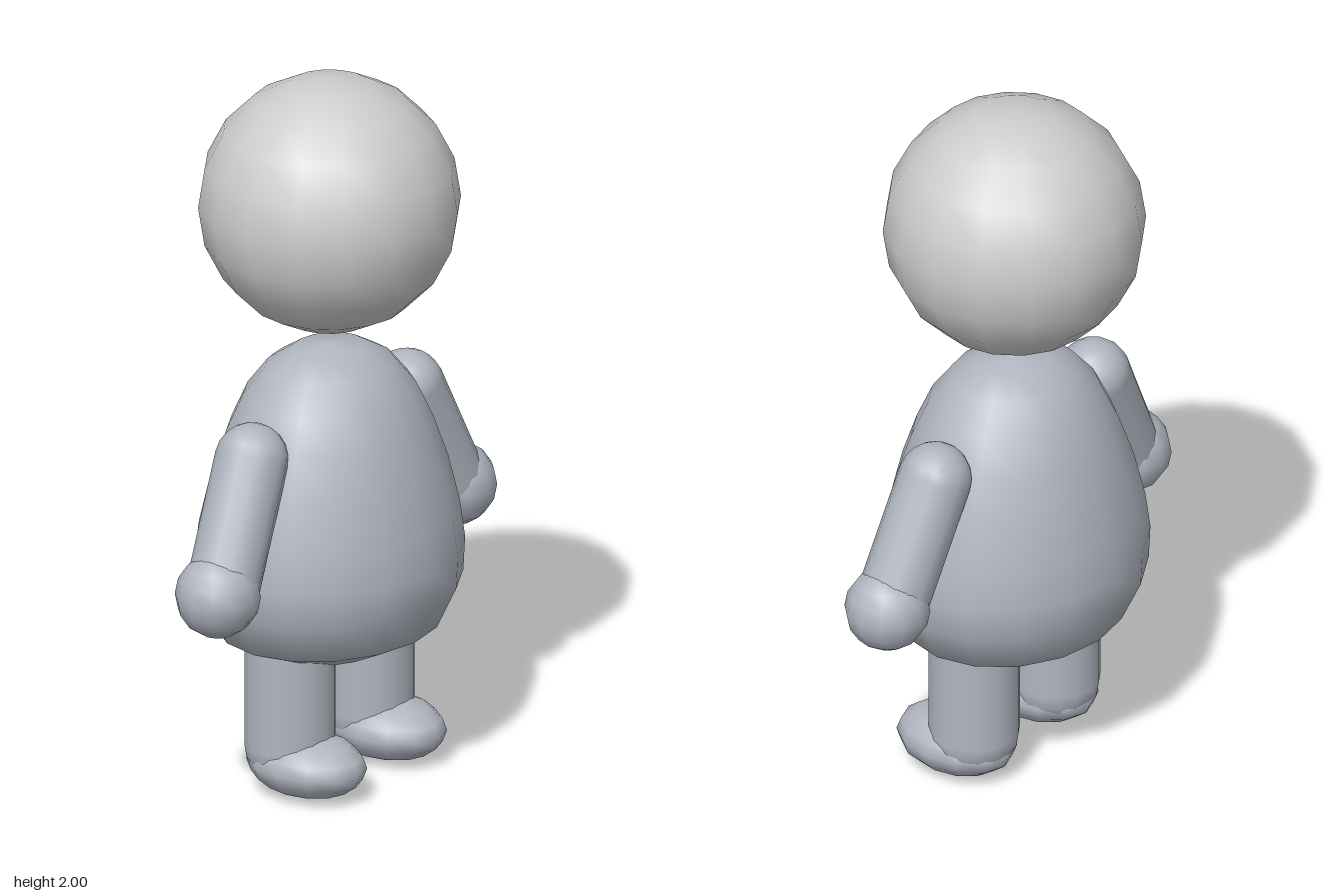
import * as THREE from 'three';

export function createModel() {
  const model = new THREE.Group();
  const headGrey = new THREE.MeshStandardMaterial({ color: 0xcccccc });
  headGrey.name = 'light grey';
  const bodyGrey = new THREE.MeshStandardMaterial({ color: 0xb0b6c0 });
  bodyGrey.name = 'blue grey';

  const add = (name, geometry, material, x, y, z) => {
    const mesh = new THREE.Mesh(geometry, material);
    mesh.name = name;
    mesh.position.set(x, y, z);
    model.add(mesh);
    return mesh;
  };

  // Capsule whose cap centres lie at a and b
  const limb = (name, a, b, radius) => {
    const axis = b.clone().sub(a);
    const mid = a.clone().add(b).multiplyScalar(0.5);
    const geometry = new THREE.CapsuleGeometry(radius, axis.length(), 5, 16);
    const mesh = add(name, geometry, bodyGrey, mid.x, mid.y, mid.z);
    mesh.quaternion.setFromUnitVectors(new THREE.Vector3(0, 1, 0), axis.normalize());
  };

  // Floating round head
  add('head', new THREE.SphereGeometry(0.357, 16, 10), headGrey, 0, 1.643, 0);

  // Egg-shaped torso, slightly flattened front to back
  const profile = [
    [0, 0.345], [0.17, 0.363], [0.335, 0.435], [0.395, 0.55], [0.4, 0.645], [0.385, 0.75],
    [0.35, 0.885], [0.305, 1.005], [0.255, 1.105], [0.19, 1.18], [0.11, 1.225], [0, 1.242],
  ].map(([r, y]) => new THREE.Vector2(r, y));
  const torso = new THREE.LatheGeometry(profile, 16);
  torso.scale(1, 1, 0.86);
  add('torso', torso, bodyGrey, 0, 0, 0);

  // Mirrored arms, hands, legs and feet
  for (const [side, s] of [['left', 1], ['right', -1]]) {
    limb(side + 'Arm', new THREE.Vector3(s * 0.345, 1.006, 0), new THREE.Vector3(s * 0.5, 0.69, 0.022), 0.1);
    add(side + 'Hand', new THREE.SphereGeometry(0.117, 12, 8), bodyGrey, s * 0.523, 0.673, 0.022);
    limb(side + 'Leg', new THREE.Vector3(s * 0.175, 0.42, 0), new THREE.Vector3(s * 0.175, 0.135, 0), 0.124);
    const foot = add(side + 'Foot', new THREE.SphereGeometry(1, 12, 8), bodyGrey, s * 0.177, 0.088, 0.058);
    foot.scale.set(0.134, 0.088, 0.178);
  }

  return model;
}
